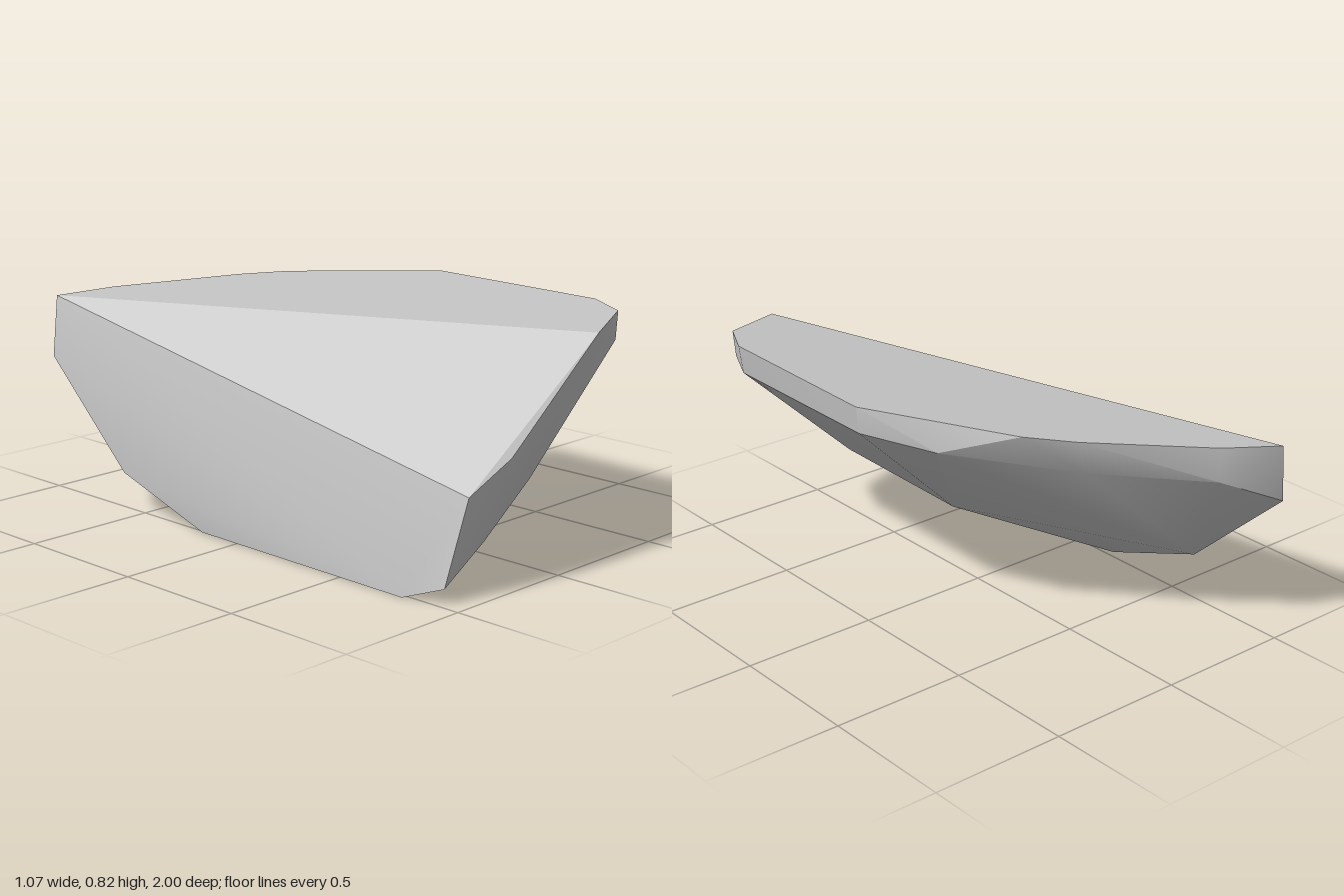
import * as THREE from 'three';
import { ConvexGeometry } from 'three/addons/geometries/ConvexGeometry.js';
import { toCreasedNormals } from 'three/addons/utils/BufferGeometryUtils.js';

export function createModel() {
  const group = new THREE.Group();
  group.name = 'rock';
  const stone = new THREE.MeshStandardMaterial({ color: 0xc4c4c4 });
  stone.name = 'light grey stone';

  // Rim of the gently sloping top face, as x and z
  const topRim = [
    [-0.48, -1], [-0.28, -0.91], [0.1, -0.63], [0.23, -0.5],
    [0.53, 0], [0.51, 0.73], [0.43, 0.89], [0.18, 1],
  ].map(([x, z]) => [x, 0.73 + 0.088 * (x + 0.48), z]);

  // Lower edge of the narrow chipped band below the rim
  const band = [
    [-0.52, 0.51, -0.98], [-0.27, 0.63, -0.92], [0.06, 0.655, -0.62],
    [0.4, 0.705, -0.27], [0.52, 0.72, 0], [0.495, 0.71, 0.73], [0.42, 0.71, 0.89],
  ];

  // Front break, running down to the foot
  const front = [
    [-0.42, 0.35, 0.97], [-0.25, 0.45, 1], [-0.01, 0.31, 0.88],
    [-0.26, 0.155, 0.9], [-0.485, 0.055, 0.93],
  ];

  // Rounded underside and the foot along the left face
  const underside = [
    [0.115, 0.325, 0], [0.09, 0.32, 0.65], [-0.15, 0.18, 0.72], [-0.4, 0.05, 0.78],
    [-0.52, 0, 0.78], [-0.52, 0.005, -0.17], [-0.535, 0.145, -0.57],
  ];

  const points = [...topRim, ...band, ...front, ...underside]
    .map((p) => new THREE.Vector3(...p));
  const geometry = toCreasedNormals(new ConvexGeometry(points), THREE.MathUtils.degToRad(30));
  const shard = new THREE.Mesh(geometry, stone);
  shard.name = 'rockShard';
  group.add(shard);
  return group;
}
